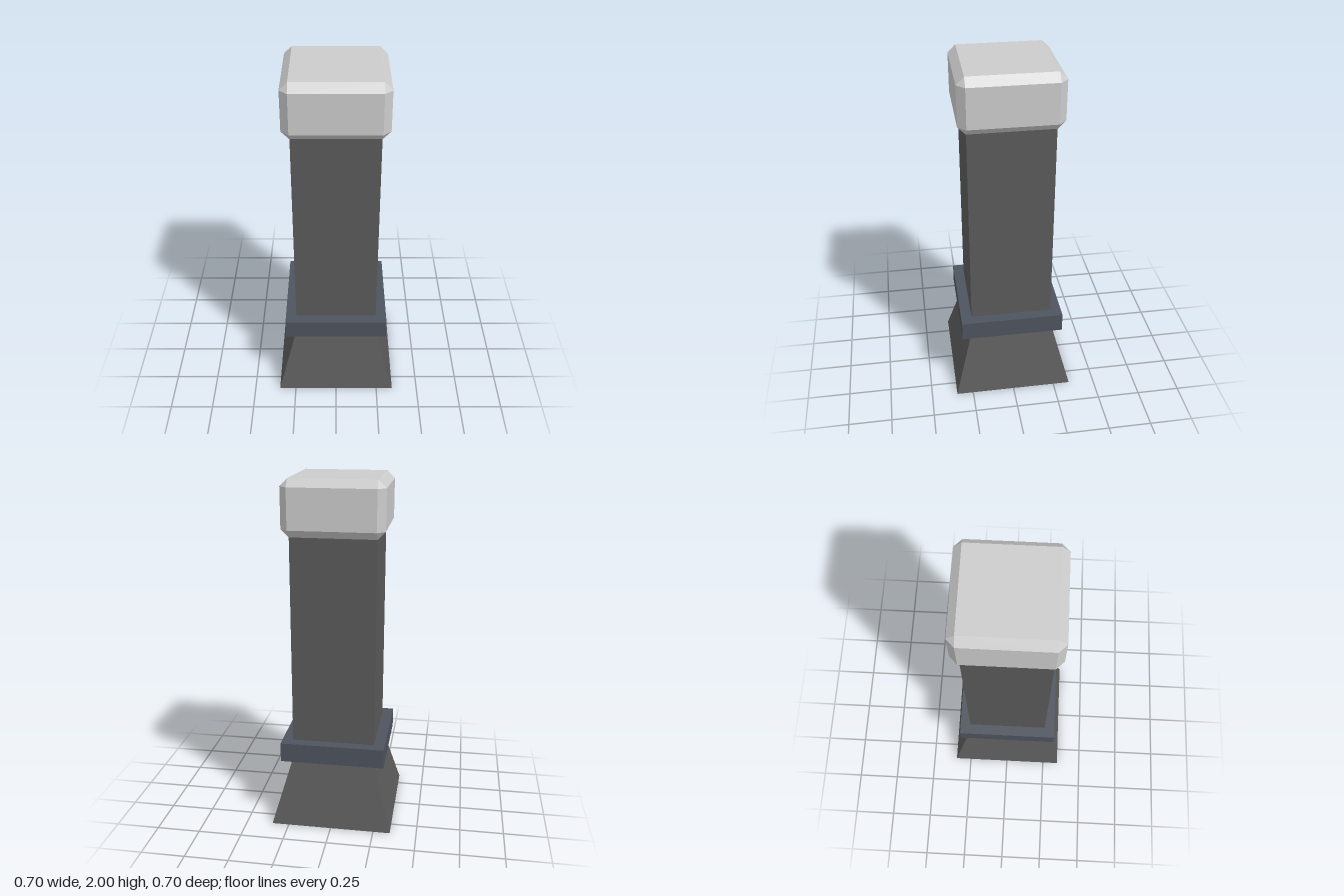
import * as THREE from 'three';
import { ConvexGeometry } from 'three/addons/geometries/ConvexGeometry.js';

const paint = (color) => new THREE.MeshStandardMaterial({ color, flatShading: true });

// Box with flat 45 degree chamfers and triangular corners
function chamferedBox(hx, hy, hz, c) {
  const points = [];
  for (const x of [-1, 1]) for (const y of [-1, 1]) for (const z of [-1, 1]) {
    points.push(
      new THREE.Vector3(x * hx, y * (hy - c), z * (hz - c)),
      new THREE.Vector3(x * (hx - c), y * hy, z * (hz - c)),
      new THREE.Vector3(x * (hx - c), y * (hy - c), z * hz));
  }
  return new ConvexGeometry(points);
}

// Square block between two heights, with separate bottom and top half widths
function block(bottom, top, y0, y1) {
  const geometry = new THREE.BoxGeometry(2, y1 - y0, 2);
  const p = geometry.attributes.position;
  for (let i = 0; i < p.count; i++) {
    const half = p.getY(i) < 0 ? bottom : top;
    p.setX(i, p.getX(i) * half);
    p.setZ(i, p.getZ(i) * half);
  }
  geometry.translate(0, (y0 + y1) / 2, 0);
  geometry.computeVertexNormals();
  return geometry;
}

export function createModel() {
  const group = new THREE.Group();
  const dark = paint(0x5a5a5a);
  const slate = paint(0x4e545e);
  const pale = paint(0xcccccc);

  const add = (name, geometry, material) => {
    const mesh = new THREE.Mesh(geometry, material);
    mesh.name = name;
    group.add(mesh);
    return mesh;
  };

  // Flared foot and straight post
  add('base', block(0.348, 0.238, 0, 0.39), dark);
  add('post', block(0.237, 0.237, 0.5, 1.7), dark);

  // Slate collar with a dark underside
  add('collar', block(0.299, 0.299, 0.39, 0.503), [slate, slate, slate, dark, slate, slate]);

  // Pale chamfered cap
  add('cap', chamferedBox(0.281, 0.155, 0.281, 0.043), pale).position.y = 1.845;

  return group;
}
